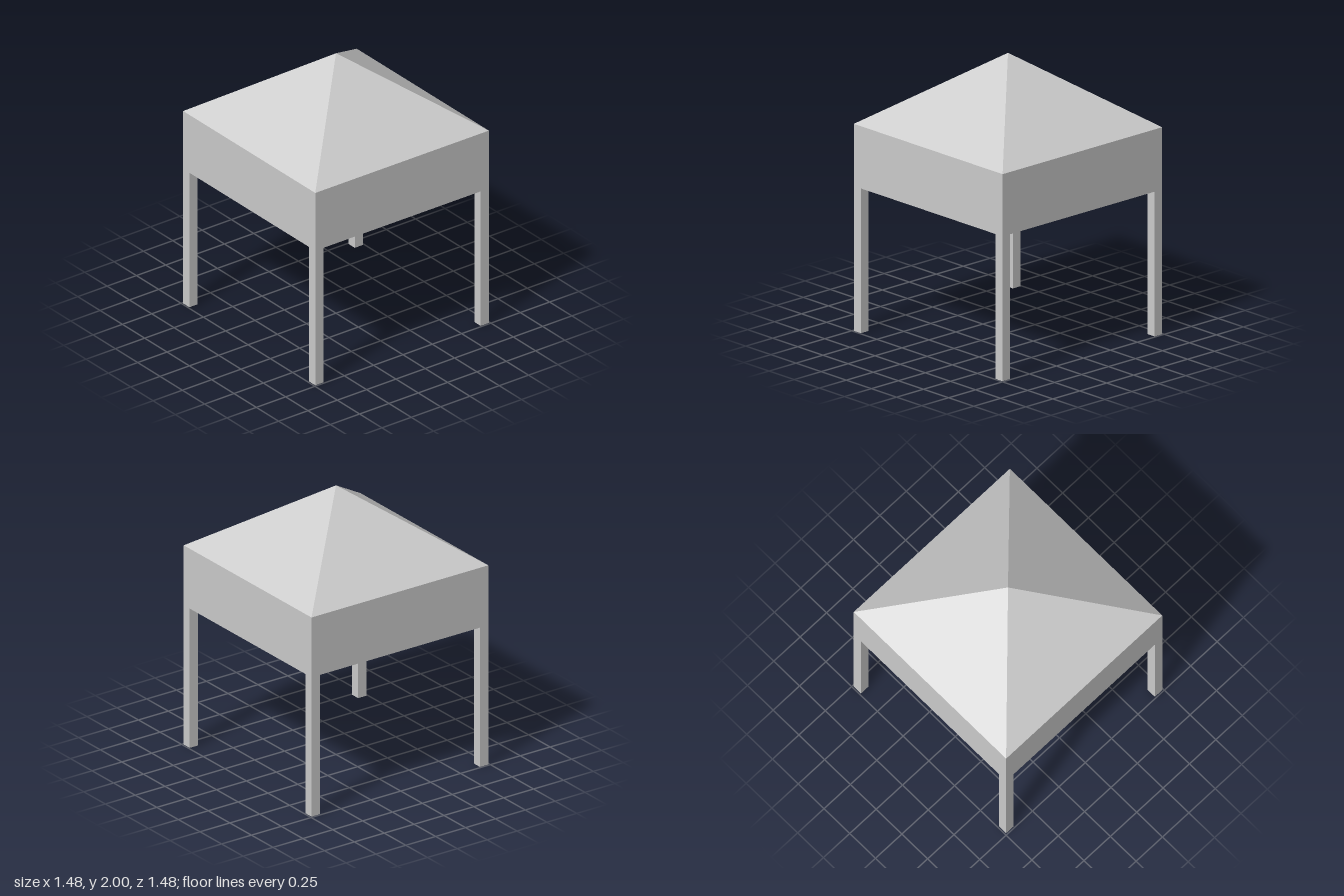
import * as THREE from 'three';

const HALF = 0.74;      // half width of the square plan
const LEG = 0.07;       // leg thickness
const LEG_TOP = 1.035;
const EAVES = 1.48;
const PEAK = 2;

export function createModel() {
  const model = new THREE.Group();
  model.name = 'pavilion';
  const material = new THREE.MeshStandardMaterial({ color: 0xcccccc, flatShading: true });

  const add = (name, geometry, x, y, z) => {
    const mesh = new THREE.Mesh(geometry, material);
    mesh.name = name;
    mesh.position.set(x, y, z);
    model.add(mesh);
  };

  // Four square legs flush with the outer corners
  const legGeometry = new THREE.BoxGeometry(LEG, LEG_TOP, LEG);
  const offset = HALF - LEG / 2;
  for (const [side, x] of [['Left', offset], ['Right', -offset]]) {
    for (const [end, z] of [['front', offset], ['back', -offset]]) {
      add(`${end}${side}Leg`, legGeometry, x, LEG_TOP / 2, z);
    }
  }

  // Deep solid band under the eaves
  const bandHeight = EAVES - LEG_TOP;
  add('canopyBand', new THREE.BoxGeometry(HALF * 2, bandHeight, HALF * 2), 0, LEG_TOP + bandHeight / 2, 0);

  // Four-sided pyramid roof, corners turned to meet the band
  const roofHeight = PEAK - EAVES;
  const roof = new THREE.ConeGeometry(HALF * Math.SQRT2, roofHeight, 4, 1, true).rotateY(Math.PI / 4);
  add('roof', roof, 0, EAVES + roofHeight / 2, 0);

  return model;
}
